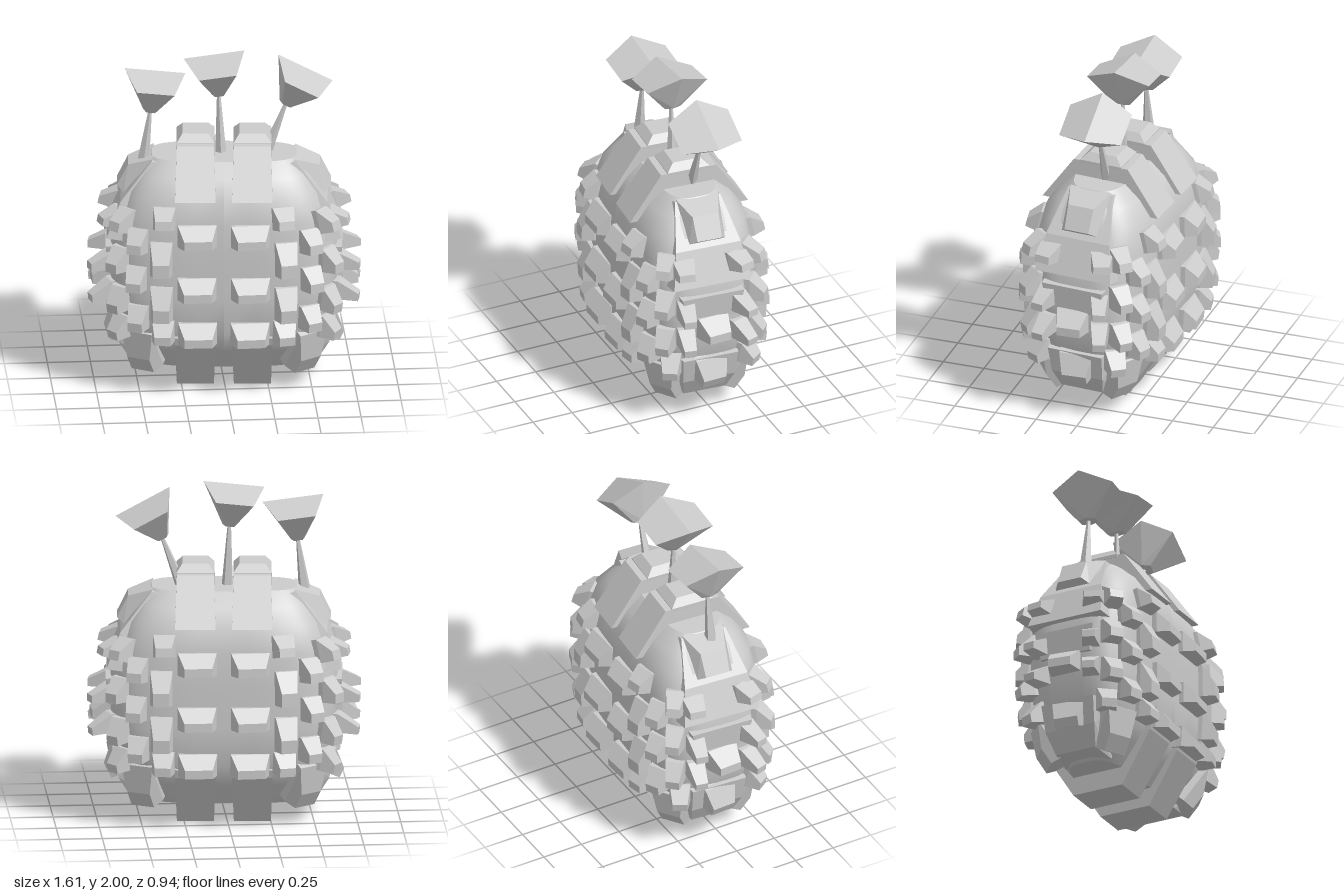
import * as THREE from 'three';
import { ConvexGeometry } from 'three/addons/geometries/ConvexGeometry.js';

const grey = new THREE.MeshStandardMaterial({ color: 0xcccccc });
const V = (x, y, z) => new THREE.Vector3(x, y, z);
const N = 3.4; // squareness of the body's cross-section

// body cross-sections: height, half width, half depth
const sections = [
  [0.11, 0.43, 0.17], [0.24, 0.54, 0.265], [0.38, 0.61, 0.355], [0.6, 0.66, 0.365], [0.85, 0.66, 0.365],
  [1.05, 0.62, 0.36], [1.2, 0.56, 0.33], [1.3, 0.49, 0.26], [1.38, 0.42, 0.17],
];

function radiiAt(y) {
  let i = 0;
  while (i < sections.length - 2 && y > sections[i + 1][0]) i++;
  const [a, b] = [sections[i], sections[i + 1]];
  const t = THREE.MathUtils.clamp((y - a[0]) / (b[0] - a[0]), 0, 1);
  return [a[1] + (b[1] - a[1]) * t, a[2] + (b[2] - a[2]) * t];
}

// 1 on the body surface, larger outside
function level(x, y, z) {
  const [rx, rz] = radiiAt(y);
  return (Math.abs(x / rx) ** N + Math.abs(z / rz) ** N) ** (1 / N);
}

function add(parent, name, geometry) {
  const mesh = new THREE.Mesh(geometry, grey);
  mesh.name = name;
  parent.add(mesh);
  return mesh;
}

function bodyGeometry() {
  const rows = sections.length - 1;
  const g = new THREE.CylinderGeometry(1, 1, 1, 64, rows);
  const p = g.attributes.position;
  for (let i = 0; i < p.count; i++) {
    const [y, rx, rz] = sections[Math.round((p.getY(i) + 0.5) * rows)];
    const x = p.getX(i), z = p.getZ(i);
    const shape = (v) => Math.sign(v) * Math.abs(v) ** (2 / N);
    p.setXYZ(i, rx * shape(x), y, rz * shape(z));
  }
  g.computeVertexNormals();
  return g;
}

// drooping tapered block, base at z = 0, pointing along +z
function studGeometry(w, h, d) {
  const pts = [];
  for (const s of [-1, 1]) {
    pts.push(V(s * w / 2, h / 2, -0.04), V(s * w / 2, -h / 2, -0.04), V(s * w / 2, h / 2, 0.015), V(s * w / 2, -h / 2, 0.015));
    pts.push(V(s * w * 0.36, -h * 0.08, d), V(s * w * 0.36, -h * 0.48, d));
  }
  return new ConvexGeometry(pts);
}

function addStud(parent, x0, y, z0, w, h, d) {
  const k = 1 / level(x0, y, z0), x = x0 * k, z = z0 * k, e = 0.01;
  const normal = V(
    level(x + e, y, z) - level(x - e, y, z),
    level(x, y + e, z) - level(x, y - e, z),
    level(x, y, z + e) - level(x, y, z - e)).normalize();
  const stud = add(parent, 'stud', studGeometry(w, h, d));
  stud.position.set(x, y, z);
  stud.lookAt(V(x, y, z).add(normal));
}

// solid mirrored across z from a list of [x, y, halfDepth]
function slab(side, pts) {
  return new ConvexGeometry(pts.flatMap(([x, y, z]) => [V(side * x, y, z), V(side * x, y, -z)]));
}

// rib running front to back, from its [z, y, inset] half profile
function ribGeometry(half, width) {
  const pts = [];
  for (const [z, y, inset] of half)
    for (const sx of [-1, 1]) for (const sz of [-1, 1]) pts.push(V(sx * (width / 2 - inset), y, sz * z));
  return new ConvexGeometry(pts);
}

function flowerGeometry() {
  const pts = [];
  for (const s of [-1, 1]) {
    pts.push(V(s * 0.178, 0, 0), V(s * 0.04, -0.245, 0));
    for (const q of [-1, 1]) pts.push(V(s * 0.11, -0.075, q * 0.19), V(s * 0.025, -0.245, q * 0.05));
  }
  return new ConvexGeometry(pts);
}

export function createModel() {
  const model = new THREE.Group();
  model.name = 'cactus';
  const trunk = new THREE.Group();
  trunk.name = 'trunk';
  trunk.rotation.y = -0.075;
  trunk.position.x = 0.008;
  model.add(trunk);
  add(trunk, 'body', bodyGeometry());

  for (const s of [-1, 1]) {
    // ribs over the top and under the base
    add(trunk, 'upperRib', ribGeometry([[0.365, 1.2, 0], [0.17, 1.475, 0.01]], 0.235)).position.x = s * 0.165;
    add(trunk, 'lowerRib', ribGeometry([[0.368, 0.36, 0], [0.35, 0.31, 0], [0.16, 0, 0.01]], 0.235)).position.x = s * 0.165;
    add(trunk, 'topStud', ribGeometry([[0.13, 1.46, 0], [0.13, 1.48, 0], [0.085, 1.525, 0.035]], 0.22)).position.x = s * 0.165;

    // plates on the flanks
    add(trunk, 'upperFlank', slab(s, [[0.42, 1.37, 0.14], [0.6, 1.14, 0.2], [0.68, 0.93, 0.24], [0.4, 0.9, 0.27], [0.3, 1.34, 0.15]]));
    add(trunk, 'shoulderStud', slab(s, [[0.41, 1.38, 0.13], [0.58, 1.17, 0.11], [0.555, 1.33, 0.08], [0.62, 1.2, 0.075]]));
    add(trunk, 'middleFlank', slab(s, [[0.685, 0.86, 0.19], [0.67, 0.7, 0.16], [0.4, 0.88, 0.22], [0.4, 0.68, 0.2]]));
    add(trunk, 'lowerFlank', slab(s, [[0.645, 0.42, 0.17], [0.61, 0.26, 0.16], [0.54, 0.14, 0.13], [0.38, 0.12, 0.15], [0.4, 0.44, 0.2]]));
    addStud(trunk, s * 0.66, 0.65, 0, 0.19, 0.13, 0.11);
    addStud(trunk, s * 0.62, 0.35, 0, 0.2, 0.15, 0.11);

    for (const f of [-1, 1]) {
      const put = (x, z, ys, w, h, d) => ys.forEach((y) => addStud(trunk, s * x, y, f * z, w, h, d));
      // front and back columns
      put(0.158, 0.37, [0.995, 0.67, 0.39], 0.225, 0.13, 0.085);
      put(0.36, 0.35, [1.095, 0.4], 0.13, 0.13, 0.085);
      put(0.36, 0.35, [0.85, 0.575], 0.13, 0.2, 0.085);
      // corner columns
      put(0.51, 0.32, [0.95, 0.72, 0.48], 0.12, 0.14, 0.09);
      put(0.6, 0.26, [1.05, 0.82, 0.58], 0.11, 0.14, 0.1);
      put(0.65, 0.17, [1.04], 0.13, 0.11, 0.11);
      put(0.65, 0.16, [0.78, 0.6], 0.1, 0.11, 0.14);
      put(0.6, 0.23, [0.4], 0.12, 0.13, 0.1);
      put(0.5, 0.23, [0.26], 0.2, 0.27, 0.085);
    }
  }

  // flowers: rim centre, tilt, stalk foot
  for (const [x, y, tilt, footX, footY] of [
    [-0.392, 1.89, -0.115, -0.46, 1.34],
    [-0.05, 1.98, 0.115, -0.01, 1.34],
    [0.482, 1.885, -0.49, 0.25, 1.36],
  ]) {
    const flower = add(model, 'flower', flowerGeometry());
    flower.position.set(x, y, -0.008);
    flower.rotation.z = tilt;
    const tip = V(x + 0.235 * Math.sin(tilt), y - 0.235 * Math.cos(tilt), -0.008);
    const dir = tip.clone().sub(V(footX, footY, -0.008));
    const stalkShape = new THREE.CylinderGeometry(0.01, 0.036, dir.length(), 5).toNonIndexed();
    stalkShape.computeVertexNormals();
    const stalk = add(model, 'stalk', stalkShape);
    stalk.position.copy(tip).addScaledVector(dir, -0.5);
    stalk.quaternion.setFromUnitVectors(V(0, 1, 0), dir.normalize());
  }
  return model;
}
